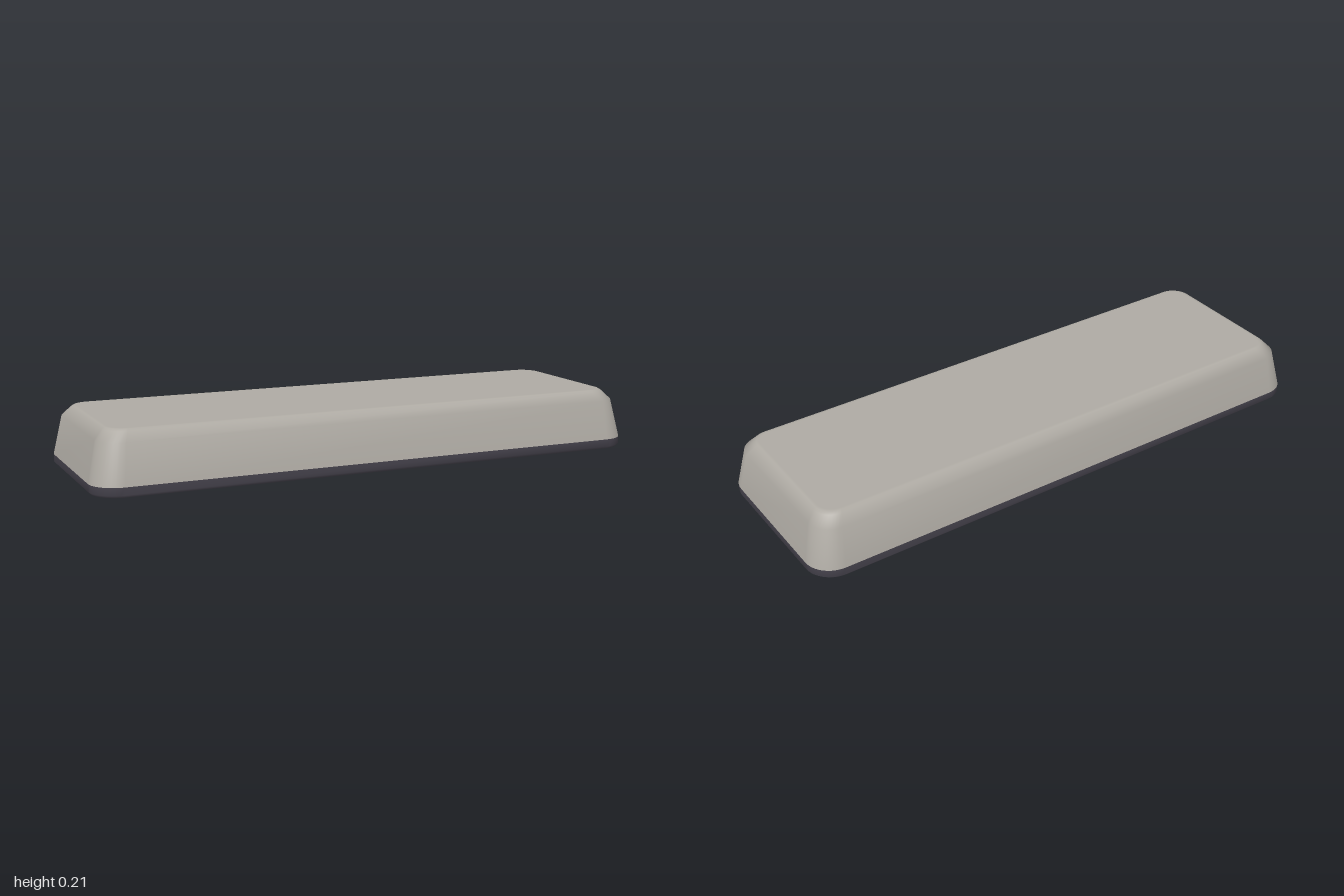
import * as THREE from 'three';

const HALF_X = 1, HALF_Z = 0.333, RADIUS = 0.095, STEPS = 10;

// Rounded-rectangle outline, shrunk by inset on every side
function outline(inset) {
  const r = Math.max(RADIUS - inset * 0.5, 0.02);
  const cx = HALF_X - inset - r, cz = HALF_Z - inset - r;
  const points = [];
  [[1, 1], [-1, 1], [-1, -1], [1, -1]].forEach(([sx, sz], corner) => {
    for (let i = 0; i <= STEPS; i++) {
      const a = (corner + i / STEPS) * Math.PI / 2;
      points.push([sx * cx + r * Math.cos(a), sz * cz + r * Math.sin(a)]);
    }
  });
  return points;
}

// Lofts outlines through profile entries [inset, y, scale]; scale 0 closes the end.
// A repeated entry makes a sharp edge.
function loft(profile) {
  const positions = [], indices = [];
  for (const [inset, y, scale = 1] of profile) {
    for (const [x, z] of outline(inset)) positions.push(x * scale, y, z * scale);
  }
  const n = 4 * (STEPS + 1);
  for (let i = 0; i < profile.length - 1; i++) {
    for (let j = 0; j < n; j++) {
      const a = i * n + j, b = i * n + (j + 1) % n;
      indices.push(a, a + n, b, b, a + n, b + n);
    }
  }
  const geometry = new THREE.BufferGeometry();
  geometry.setAttribute('position', new THREE.Float32BufferAttribute(positions, 3));
  geometry.setIndex(indices);
  geometry.computeVertexNormals();
  return geometry;
}

function part(name, profile, color) {
  const mesh = new THREE.Mesh(loft(profile), new THREE.MeshStandardMaterial({ color }));
  mesh.name = name;
  return mesh;
}

export function createModel() {
  const group = new THREE.Group();
  group.name = 'keycap';

  // Dark base plate with a small bottom bevel and a closed underside
  group.add(part('basePlate', [
    [0.008, 0, 0], [0.008, 0], [0.008, 0], [0, 0.009], [0, 0.035],
  ], 0x46434d));

  // Tapered shell with a chamfered shoulder and a flat top
  group.add(part('shell', [
    [0, 0.035], [0.029, 0.172], [0.058, 0.203], [0.067, 0.209],
    [0.076, 0.21], [0.076, 0.21, 0],
  ], 0xaeaaa3));

  return group;
}
